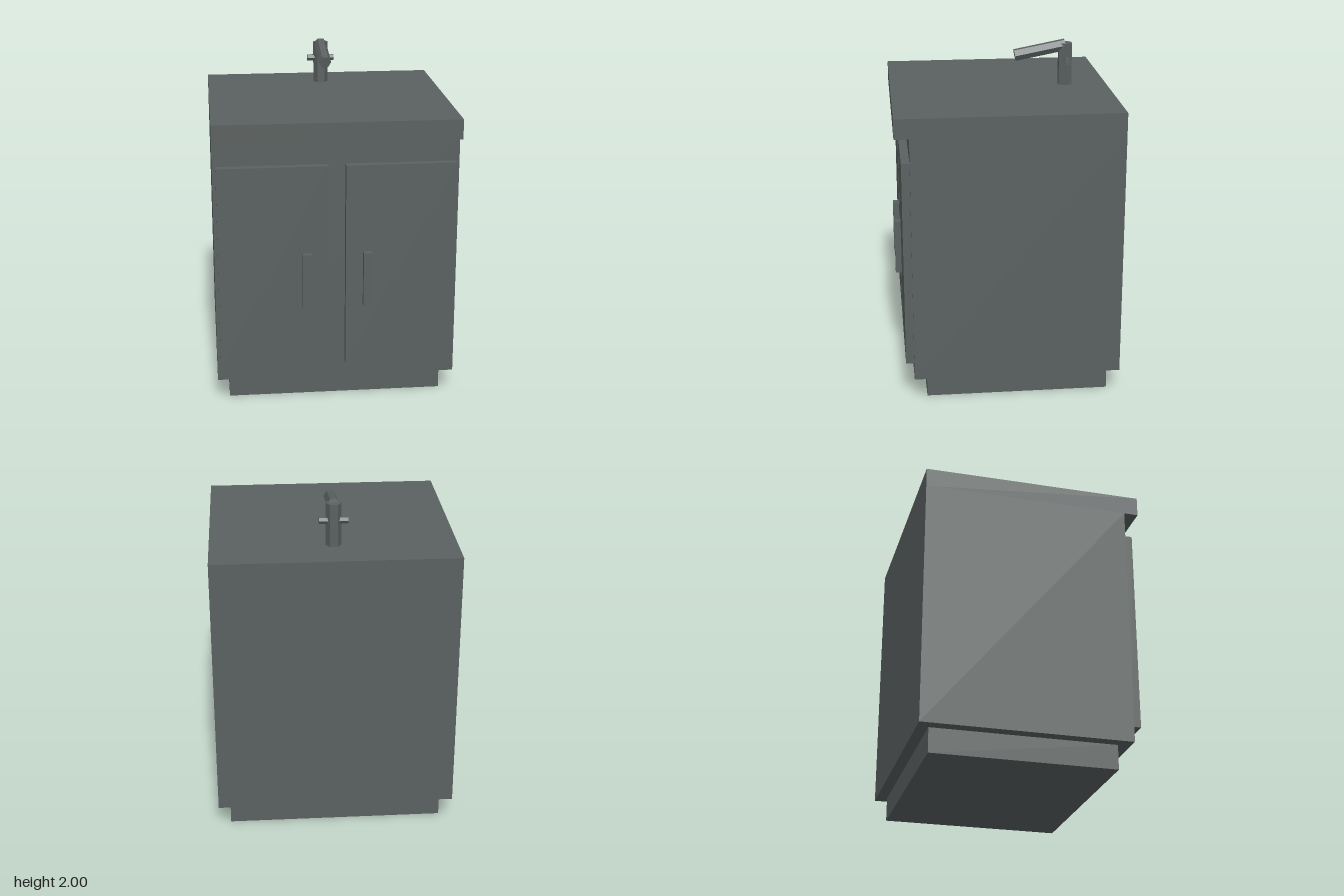
import * as THREE from 'three';

export function createModel() {
  const group = new THREE.Group();
  const slate = new THREE.MeshStandardMaterial({ color: 0x5a6160, flatShading: true });
  slate.name = 'slate grey';

  const add = (name, geometry) => {
    const mesh = new THREE.Mesh(geometry, slate);
    mesh.name = name;
    group.add(mesh);
    return mesh;
  };

  // Box given by its lower and upper corners
  const box = (name, [x0, y0, z0], [x1, y1, z1]) =>
    add(name, new THREE.BoxGeometry(x1 - x0, y1 - y0, z1 - z0))
      .position.set((x0 + x1) / 2, (y0 + y1) / 2, (z0 + z1) / 2);

  // Six-sided rod between two points, turned about its own axis
  const hexRod = (name, from, to, radius, turn) => {
    const a = new THREE.Vector3(...from);
    const b = new THREE.Vector3(...to);
    const geometry = new THREE.CylinderGeometry(radius, radius, a.distanceTo(b), 6);
    geometry.rotateY(turn);
    const mesh = add(name, geometry);
    mesh.position.copy(a).add(b).multiplyScalar(0.5);
    mesh.quaternion.setFromUnitVectors(new THREE.Vector3(0, 1, 0), b.sub(a).normalize());
  };

  // Cabinet: recessed plinth, body and overhanging counter
  box('plinth', [-0.637, 0, -0.585], [0.637, 0.145, 0.492]);
  box('cabinetBody', [-0.707, 0.145, -0.65], [0.707, 1.612, 0.567]);
  box('countertop', [-0.707, 1.612, -0.65], [0.707, 1.728, 0.652]);

  // Mirrored doors with their handles
  for (const [side, s] of [['left', 1], ['right', -1]]) {
    const span = (a, b) => [Math.min(s * a, s * b), Math.max(s * a, s * b)];
    const [d0, d1] = span(0.05, 0.687);
    box(side + 'Door', [d0, 0.242, 0.567], [d1, 1.466, 0.615]);
    const [h0, h1] = span(0.15, 0.204);
    box(side + 'Handle', [h0, 0.62, 0.615], [h1, 0.948, 0.652]);
  }

  // Faucet: post, sloping spout and cross handle
  hexRod('faucetPost', [0, 1.728, -0.4], [0, 1.98, -0.4], 0.045, Math.PI / 6);
  hexRod('faucetSpout', [0, 1.968, -0.4], [0, 1.91, -0.096], 0.037, Math.PI / 6);
  hexRod('faucetCrossHandle', [-0.083, 1.878, -0.404], [0.083, 1.878, -0.404], 0.021, 0);

  return group;
}
